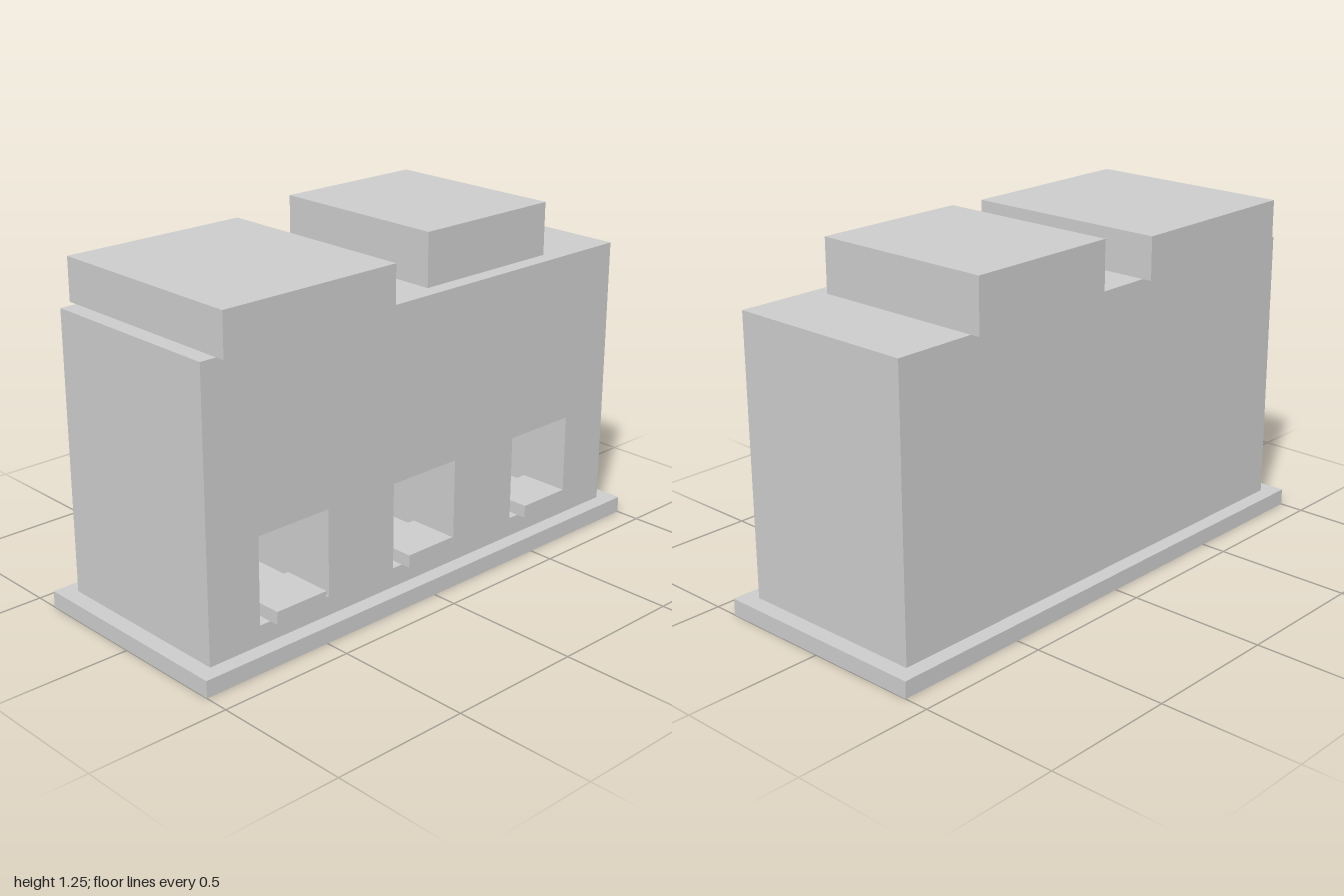
import * as THREE from 'three';

const material = new THREE.MeshStandardMaterial({ color: 0xcccccc, flatShading: true });

// Box given by its extents on each axis
function block(name, [x0, x1], [y0, y1], [z0, z1]) {
  const mesh = new THREE.Mesh(new THREE.BoxGeometry(x1 - x0, y1 - y0, z1 - z0), material);
  mesh.position.set((x0 + x1) / 2, (y0 + y1) / 2, (z0 + z1) / 2);
  mesh.name = name;
  return mesh;
}

// Rectangular outline, usable as a shape or a hole
function rectangle(path, x0, x1, y0, y1) {
  path.moveTo(x0, y0);
  path.lineTo(x1, y0);
  path.lineTo(x1, y1);
  path.lineTo(x0, y1);
  path.closePath();
  return path;
}

export function createModel() {
  const model = new THREE.Group();
  model.name = 'machine';

  const bodyFront = 0.353, nicheBack = -0.025;
  const nicheCentres = [-0.588, 0, 0.588];

  // Base plate
  model.add(block('basePlate', [-1, 1], [0, 0.06], [-0.41, 0.41]));

  // Body: a front part pierced by three niches, closed by a solid rear part
  const outline = rectangle(new THREE.Shape(), -0.94, 0.94, 0.06, 1.06);
  for (const x of nicheCentres) {
    outline.holes.push(rectangle(new THREE.Path(), x - 0.147, x + 0.147, 0.13, 0.44));
  }
  const front = new THREE.Mesh(
    new THREE.ExtrudeGeometry(outline, { depth: bodyFront - nicheBack, bevelEnabled: false }),
    material
  );
  front.position.z = nicheBack;
  front.name = 'bodyFront';
  model.add(front);
  model.add(block('bodyRear', [-0.94, 0.94], [0.06, 1.06], [-bodyFront, nicheBack]));

  // Trays standing out of the niches
  for (const x of nicheCentres) {
    model.add(block('tray', [x - 0.105, x + 0.105], [0.13, 0.176], [0.2, 0.388]));
  }

  // Top units, overhanging the body
  model.add(block('wideTopUnit', [-0.88, -0.18], [1.06, 1.212], [-0.388, 0.388]));
  model.add(block('tallTopUnit', [0.06, 0.64], [1.06, 1.25], [-0.388, 0.294]));

  return model;
}
